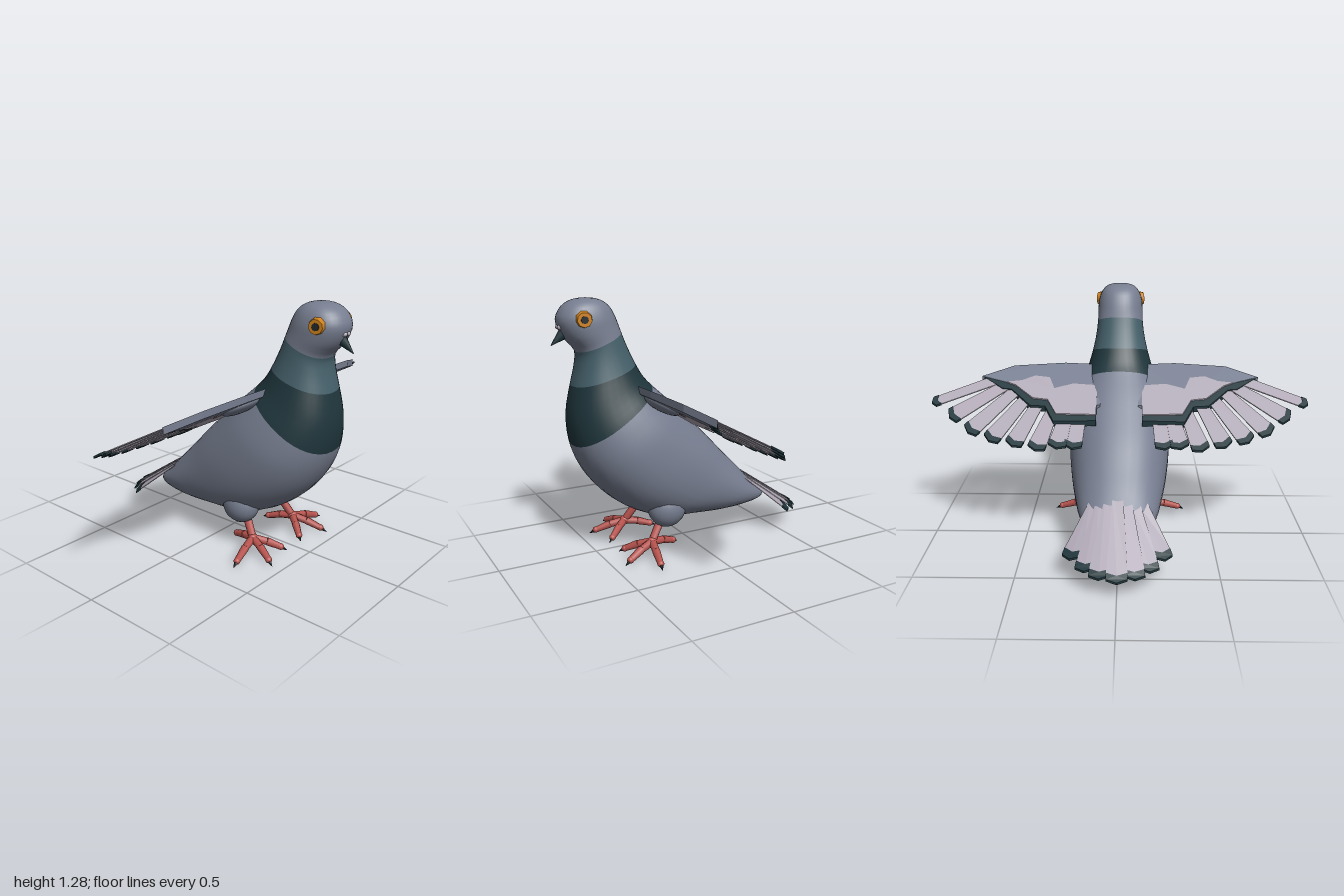
import * as THREE from 'three';

const mat = (name, color) => {
  const m = new THREE.MeshStandardMaterial({ color });
  m.name = name;
  return m;
};

export function createModel() {
  const grey = mat('slate grey', 0x777e90);
  const teal = mat('neck teal', 0x45606a);
  const dark = mat('dark teal', 0x1f363c);
  const light = mat('feather grey', 0xb0a9b6);
  const red = mat('leg red', 0xb9544f);
  const orange = mat('eye orange', 0xd0821a);
  const black = mat('claw black', 0x23282c);
  const bird = new THREE.Group();
  bird.name = 'bird';

  const add = (name, geo, material, parent = bird) => {
    const mesh = new THREE.Mesh(geo, material);
    mesh.name = name;
    parent.add(mesh);
    return mesh;
  };
  const group = (name) => {
    const g = new THREE.Group();
    g.name = name;
    bird.add(g);
    return g;
  };
  const ball = (name, pos, size, material, parent) => {
    const m = add(name, new THREE.SphereGeometry(1, 20, 14), material, parent);
    m.position.set(...pos);
    m.scale.set(...size);
    return m;
  };
  // Tapered rod between two points
  const rod = (name, p, q, r0, r1, material, parent, sides = 7) => {
    const a = new THREE.Vector3(...p), b = new THREE.Vector3(...q);
    const dir = b.clone().sub(a);
    const m = add(name, new THREE.CylinderGeometry(r1, r0, dir.length(), sides), material, parent);
    m.position.copy(a).add(b).multiplyScalar(0.5);
    m.quaternion.setFromUnitVectors(new THREE.Vector3(0, 1, 0), dir.normalize());
    return m;
  };

  // Body sections from crown to rump: front z, front y, back z, back y, half width
  const keys = [
    [0.52, 1.29, 0.52, 1.29, 0],
    [0.585, 1.28, 0.455, 1.28, 0.065],
    [0.635, 1.25, 0.41, 1.25, 0.1],
    [0.664, 1.19, 0.383, 1.205, 0.12],
    [0.635, 1.11, 0.367, 1.165, 0.124],
    [0.572, 1.035, 0.354, 1.127, 0.126],
    [0.577, 0.955, 0.325, 1.055, 0.136],
    [0.597, 0.872, 0.284, 0.97, 0.155],
    [0.622, 0.73, 0.245, 0.905, 0.185],
    [0.608, 0.582, 0.205, 0.86, 0.222],
    [0.565, 0.47, 0.1, 0.765, 0.258],
    [0.49, 0.36, 0, 0.67, 0.27],
    [0.36, 0.245, -0.1, 0.575, 0.268],
    [0.2, 0.17, -0.2, 0.47, 0.25],
    [0, 0.148, -0.28, 0.39, 0.225],
    [-0.2, 0.143, -0.35, 0.315, 0.195],
    [-0.39, 0.157, -0.42, 0.25, 0.14],
    [-0.45, 0.17, -0.455, 0.22, 0.09],
    [-0.475, 0.195, -0.475, 0.195, 0],
  ];
  const front = new THREE.CatmullRomCurve3(keys.map((k) => new THREE.Vector3(k[4], k[1], k[0])));
  const back = new THREE.CatmullRomCurve3(keys.map((k) => new THREE.Vector3(k[4], k[3], k[2])));
  const sub = 3, sides = 36, rows = (keys.length - 1) * sub;
  const pos = [], index = [];
  const soft = (v) => Math.sign(v) * Math.abs(v) ** 0.9;
  for (let i = 0; i <= rows; i++) {
    const f = front.getPoint(i / rows), b = back.getPoint(i / rows);
    for (let j = 0; j < sides; j++) {
      const t = (j / sides) * Math.PI * 2, c = soft(Math.cos(t)) / 2;
      pos.push(Math.max(f.x, 0) * soft(Math.sin(t)),
        (f.y + b.y) / 2 + (f.y - b.y) * c, (f.z + b.z) / 2 + (f.z - b.z) * c);
      if (i === rows) continue;
      const k = (j + 1) % sides, r = i * sides, n = r + sides;
      index.push(r + j, n + j, r + k, r + k, n + j, n + k);
    }
  }
  const bodyGeo = new THREE.BufferGeometry();
  bodyGeo.setAttribute('position', new THREE.Float32BufferAttribute(pos, 3));
  bodyGeo.setIndex(index);
  bodyGeo.computeVertexNormals();
  // Colour bands: head, neck, collar, body
  const stops = [0, 5, 7, 9, keys.length - 1].map((k) => k * sub * sides * 6);
  for (let g = 0; g < 4; g++) bodyGeo.addGroup(stops[g], stops[g + 1] - stops[g], g);
  add('body', bodyGeo, [grey, teal, dark, grey]);

  // Flat plate drawn in x and z, laid on a height surface
  const wingY = (x, z) => 0.665 + 0.6 * z;
  const tailY = (x, z) => 0.55 + 0.67 * z - x * x;
  const plate = (name, pts, low, high, surface, material, parent) => {
    const shape = new THREE.Shape(pts.map(([x, z]) => new THREE.Vector2(x, -z)));
    const geo = new THREE.ExtrudeGeometry(shape, { depth: high - low, bevelEnabled: false });
    const p = geo.attributes.position;
    for (let i = 0; i < p.count; i++) {
      const x = p.getX(i), z = -p.getY(i);
      p.setXYZ(i, x, surface(x, z) + low + p.getZ(i), z);
    }
    geo.computeVertexNormals();
    return add(name, geo, material, parent);
  };
  // Feather widening toward a dark, blunt tip
  const feather = (root, tip, w0, w1, y, surface, parent) => {
    const dx = tip[0] - root[0], dz = tip[1] - root[1], len = Math.hypot(dx, dz);
    const at = (along, side) => [
      root[0] + (dx * along - dz * side) / len,
      root[1] + (dz * along + dx * side) / len];
    const e = len - 0.03;
    plate('feather', [at(0, -w0), at(e - 0.015, -w1), at(e, 0), at(e - 0.015, w1), at(0, w0)],
      y, y + 0.005, surface, light, parent);
    plate('featherTip', [at(e - 0.015, -w1), at(len - 0.017, -w1), at(len, 0),
      at(len - 0.017, w1), at(e - 0.015, w1), at(e, 0)], y - 0.003, y + 0.008, surface, dark, parent);
  };

  const arm = [[0.1, 0.06], [0.1, 0.32], [0.3, 0.33], [0.58, 0.31], [0.75, 0.24],
    [0.57, 0.19], [0.47, 0.13], [0.4, 0.12], [0.32, 0.06]];
  const covert = [[0.12, 0.18], [0.25, 0.19], [0.35, 0.16], [0.38, 0.23], [0.46, 0.24], [0.53, 0.21],
    [0.61, 0.2], [0.56, 0.18], [0.46, 0.1], [0.38, 0.09], [0.33, 0.005], [0.12, 0]];
  const trim = [[0.12, 0.18], [0.5, 0.2], [0.74, 0.238], [0.63, 0.165], [0.58, 0.16],
    [0.47, 0.06], [0.39, 0.055], [0.34, -0.035], [0.12, -0.03]];
  // Flight feathers: root x, root z, tip x, tip z
  const flight = [[0.2, 0.06, 0.235, -0.17], [0.27, 0.06, 0.315, -0.17], [0.34, 0.08, 0.42, -0.185],
    [0.42, 0.11, 0.54, -0.165], [0.48, 0.14, 0.66, -0.14], [0.54, 0.18, 0.775, -0.095],
    [0.6, 0.2, 0.885, -0.01], [0.64, 0.235, 0.993, 0.075]];

  for (const s of [1, -1]) {
    const side = s > 0 ? 'left' : 'right';
    const flip = (pts) => pts.map(([x, z]) => [x * s, z]);
    const wing = group(side + 'Wing');
    plate('wingArm', flip(arm), -0.022, 0.014, wingY, grey, wing);
    plate('covertTrim', flip(trim), -0.018, 0.012, wingY, dark, wing);
    plate('covert', flip(covert), -0.025, 0.018, wingY, light, wing);
    flight.forEach(([a, b, c, d], i) =>
      feather([a * s, b], [c * s, d], 0.03, i === 7 ? 0.028 : 0.046, -0.012 + i * 0.0025, wingY, wing));
    ball('shoulder', [0.23 * s, 0.785, 0.235], [0.11, 0.03, 0.09], grey, wing).rotation.x = -0.54;

    // Eye disc with pupil, turned slightly forward
    const eye = group(side + 'Eye');
    eye.position.set(0.115 * s, 1.197, 0.57);
    eye.rotation.y = s * (Math.PI / 2 - 0.2);
    [['iris', 0.041, 0.026, orange], ['pupil', 0.021, 0.034, black]].forEach(([n, r, h, m]) => {
      add(n, new THREE.CylinderGeometry(r * 0.85, r, h, 9), m, eye).rotation.x = Math.PI / 2;
    });

    // Leg, toes and claws
    const leg = group(side + 'Leg');
    ball('thigh', [0.15 * s, 0.235, 0.17], [0.085, 0.1, 0.1], grey, leg);
    const ankle = [0.17 * s, 0.075, 0.265];
    rod('shank', [0.14 * s, 0.18, 0.195], ankle, 0.022, 0.02, red, leg);
    ball('ankle', ankle, [0.026, 0.024, 0.026], red, leg);
    for (const [x, y, z] of [[0.335, 0.027, 0.3], [0.225, 0.027, 0.41], [0.08, 0.027, 0.375], [0.135, 0.045, 0.13]]) {
      const end = [x * s, y, z];
      const knee = ankle.map((v, i) => (v + end[i]) / 2 + (i === 1 ? 0.006 : 0));
      const claw = end.map((v, i) => v + (v - ankle[i]) * (i === 1 ? 0.4 : 0.22));
      rod('toe', ankle, knee, 0.021, 0.019, red, leg);
      rod('toe', knee, end, 0.021, 0.016, red, leg);
      ball('toePad', end, [0.017, 0.017, 0.017], red, leg);
      rod('claw', end, claw, 0.014, 0.001, black, leg, 6);
    }
    ball('cere', [0.013 * s, 1.157, 0.645], [0.016, 0.014, 0.022], light);
  }

  // Beak
  const beak = rod('beak', [0, 1.135, 0.622], [0, 1.073, 0.696], 0.034, 0.002, dark, bird, 8);
  beak.scale.x = 0.75;

  // Tail fan, outer feathers lowest
  const tail = group('tail');
  const fan = [[0, -0.692, 0], [0.085, -0.665, 1], [0.155, -0.615, 2], [0.228, -0.535, 3]];
  for (const [x, z, i] of fan) {
    for (const s of i ? [1, -1] : [1]) {
      feather([i * 0.038 * s, -0.295], [x * s, z], 0.026, 0.05, 0.004 - i * 0.006, tailY, tail);
    }
  }
  return bird;
}
